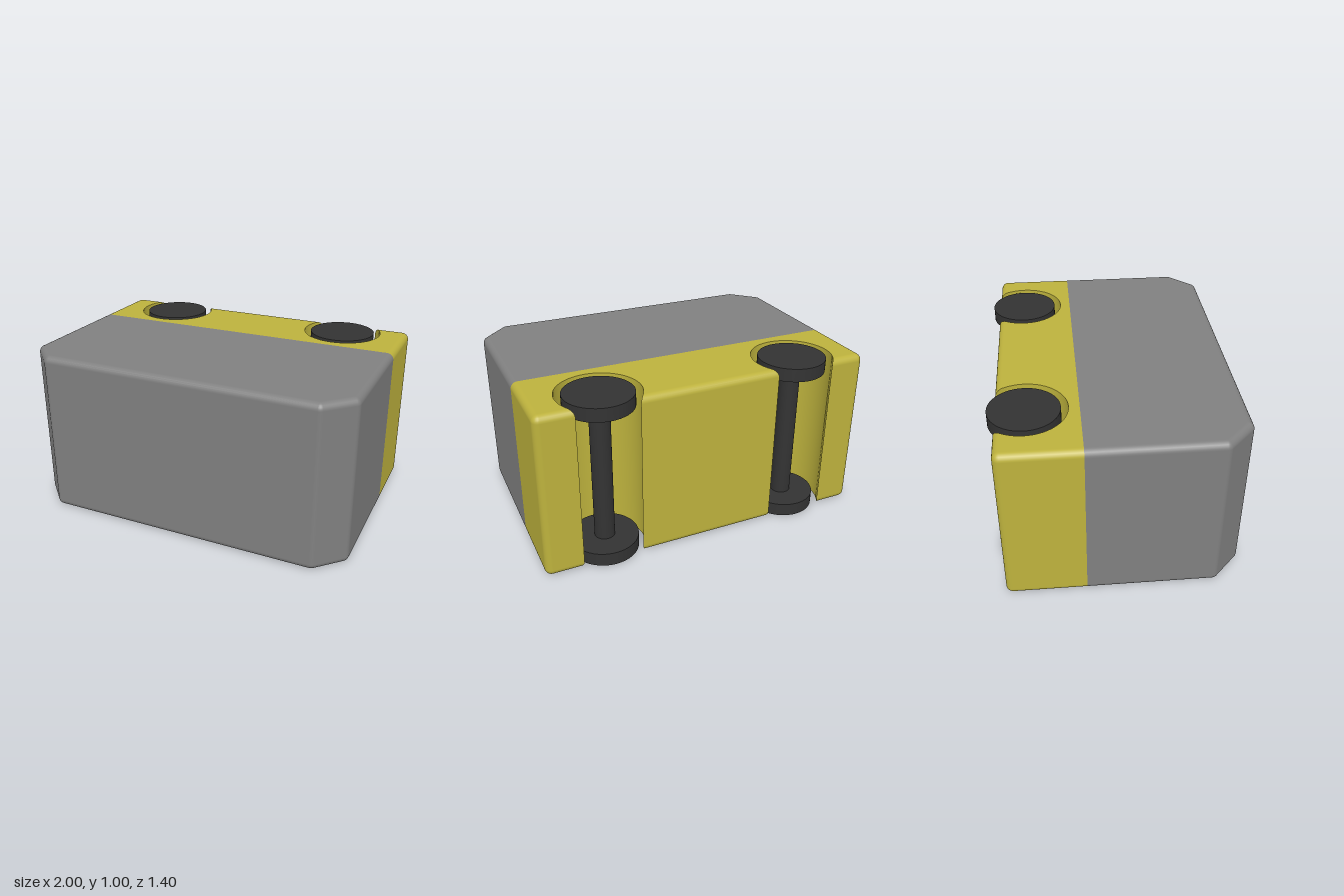
import * as THREE from 'three';

const H = 1;             // block height
const EDGE = 0.04;       // rounding of the outer edges
const SPLIT = -0.2;      // z where the two colours meet
const BACK = -0.62;      // back wall before its rounding
const WHEEL_X = 0.6, WHEEL_Z = -0.5, NOTCH_R = 0.24;

const grey = new THREE.MeshStandardMaterial({ color: 0x808080 });
const yellow = new THREE.MeshStandardMaterial({ color: 0xbdb23d });
const black = new THREE.MeshStandardMaterial({ color: 0x333333 });
grey.name = 'bodyGrey';
yellow.name = 'bandYellow';
black.name = 'rollerBlack';

// An outline point is a function of the rounding offset t, giving [x, z, normalX, normalZ].
const point = (x, z, nx, nz) => (t) => [x + nx * t, z + nz * t, nx, nz];

// Rounded vertical corner, angles in degrees from +x towards +z
function corner(x, z, from, to, steps = 6) {
  return Array.from({ length: steps + 1 }, (_, i) => {
    const a = THREE.MathUtils.degToRad(from + ((to - from) * i) / steps);
    return point(x, z, Math.cos(a), Math.sin(a));
  });
}

// Half angle of the round notch where it breaks through the back wall
const notchAngle = (t) => Math.acos((BACK - t - WHEEL_Z) / NOTCH_R);

// Back wall point at one side of a notch
const lip = (cx, side) => (t) => [cx + side * NOTCH_R * Math.sin(notchAngle(t)), BACK - t, 0, -1];

// Curved wall of a notch
function notch(cx, steps = 48) {
  return Array.from({ length: steps + 1 }, (_, i) => (t) => {
    const s = notchAngle(t) * ((2 * i) / steps - 1);
    const sx = Math.sin(s), cz = Math.cos(s);
    return [cx + NOTCH_R * sx, WHEEL_Z + NOTCH_R * cz, -sx, -cz];
  });
}

// Levels from bottom to top: height, offset and tilt of the rounded edges
const levels = [];
const STEPS = 6;
for (let j = 0; j <= 2 * STEPS + 1; j++) {
  const upper = j > STEPS;
  const a = ((upper ? j - STEPS - 1 : j - STEPS) / STEPS) * Math.PI / 2;
  levels.push({ y: (upper ? H - EDGE : EDGE) + EDGE * Math.sin(a), t: EDGE * Math.cos(a), a });
}

// Lofts runs of outline points through the levels and closes top and bottom.
function buildBlock(runs) {
  const pos = [], nor = [], idx = [];
  for (const { pts, rounded } of runs) {
    const base = pos.length / 3, n = pts.length;
    for (const { y, t, a } of levels) {
      for (const p of pts) {
        const [x, z, nx, nz] = p(t);
        const c = rounded ? Math.cos(a) : 1;
        pos.push(x, y, z);
        nor.push(nx * c, rounded ? Math.sin(a) : 0, nz * c);
      }
    }
    for (let j = 0; j < levels.length - 1; j++) {
      for (let i = 0; i < n - 1; i++) {
        const p = base + j * n + i, q = p + n;
        idx.push(p, q, p + 1, q, q + 1, p + 1);
      }
    }
  }
  // Flat caps
  const contour = runs.flatMap(({ pts }) => pts.map((p) => new THREE.Vector2(...p(0).slice(0, 2))))
    .filter((p, i, all) => i === 0 || p.distanceTo(all[i - 1]) > 1e-6);
  const faces = THREE.ShapeUtils.triangulateShape(contour, []);
  for (const [y, up] of [[H, 1], [0, -1]]) {
    const base = pos.length / 3;
    for (const p of contour) {
      pos.push(p.x, y, p.y);
      nor.push(0, up, 0);
    }
    for (const [i, j, k] of faces) {
      const ab = contour[j].clone().sub(contour[i]), ac = contour[k].clone().sub(contour[i]);
      const facing = -ab.cross(ac) * up;
      idx.push(base + i, base + (facing > 0 ? j : k), base + (facing > 0 ? k : j));
    }
  }
  const g = new THREE.BufferGeometry();
  g.setAttribute('position', new THREE.Float32BufferAttribute(pos, 3));
  g.setAttribute('normal', new THREE.Float32BufferAttribute(nor, 3));
  g.setIndex(idx);
  return g;
}

function addMesh(parent, name, geometry, material, y = 0) {
  const mesh = new THREE.Mesh(geometry, material);
  mesh.name = name;
  mesh.position.y = y;
  parent.add(mesh);
}

export function createModel() {
  const model = new THREE.Group();
  model.name = 'rollerBlock';
  const side = 1 - EDGE;

  // Grey front block with chamfered corners
  addMesh(model, 'frontBlock', buildBlock([{
    rounded: true,
    pts: [
      point(side, SPLIT, 1, 0),
      ...corner(side, 0.523, 0, 45),
      ...corner(0.823, 0.66, 45, 90),
      ...corner(-0.823, 0.66, 90, 135),
      ...corner(-side, 0.523, 135, 180),
      point(-side, SPLIT, -1, 0),
    ],
  }]), grey);

  // Yellow rear block with two round notches
  addMesh(model, 'rearBlock', buildBlock([
    { rounded: true, pts: [point(-side, SPLIT, -1, 0), ...corner(-side, BACK, 180, 270), lip(-WHEEL_X, -1)] },
    { rounded: false, pts: notch(-WHEEL_X) },
    { rounded: true, pts: [lip(-WHEEL_X, 1), lip(WHEEL_X, -1)] },
    { rounded: false, pts: notch(WHEEL_X) },
    { rounded: true, pts: [lip(WHEEL_X, 1), ...corner(side, BACK, 270, 360), point(side, SPLIT, 1, 0)] },
  ]), yellow);

  // Rollers: a thin axle with a disc at each end
  const disc = new THREE.CylinderGeometry(0.2, 0.2, 0.08, 48);
  const axle = new THREE.CylinderGeometry(0.06, 0.06, H - 0.16, 32);
  for (const [name, s] of [['leftRoller', 1], ['rightRoller', -1]]) {
    const roller = new THREE.Group();
    roller.name = name;
    roller.position.set(s * WHEEL_X, 0, WHEEL_Z);
    addMesh(roller, 'topDisc', disc, black, H - 0.04);
    addMesh(roller, 'bottomDisc', disc, black, 0.04);
    addMesh(roller, 'axle', axle, black, H / 2);
    model.add(roller);
  }
  return model;
}
